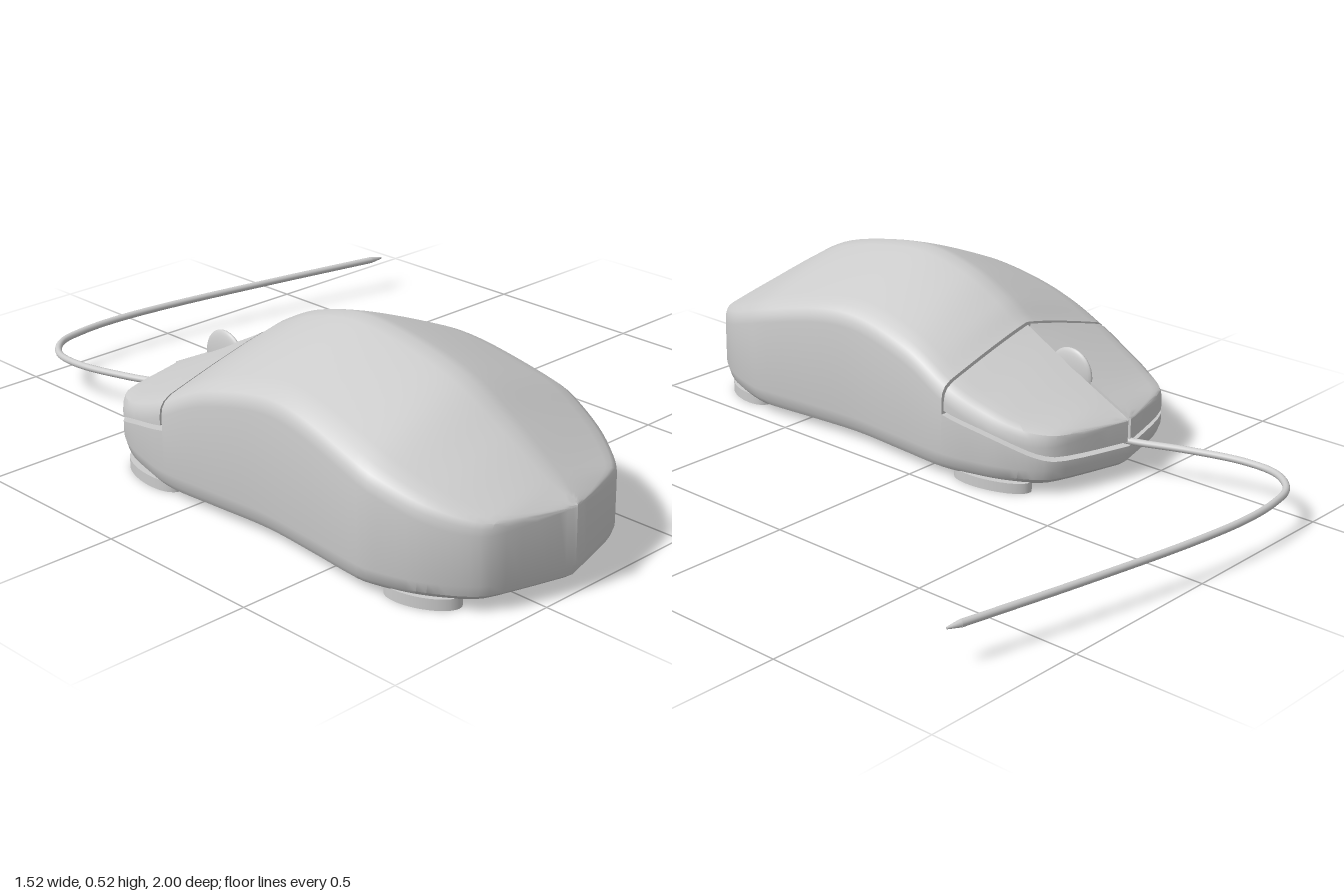
import * as THREE from 'three';
import { toCreasedNormals } from 'three/addons/utils/BufferGeometryUtils.js';

const SEAM = -0.085; // z of the gap between palm shell and buttons

// Smooth function of z through [z, value] pairs
function profile(pairs) {
  const pts = new THREE.SplineCurve(pairs.map(([z, v]) => new THREE.Vector2(z, v))).getPoints(240);
  return (z) => {
    let i = 1;
    while (i < pts.length - 1 && pts[i].x < z) i++;
    const a = pts[i - 1], b = pts[i];
    const t = THREE.MathUtils.clamp((z - a.x) / (b.x - a.x || 1), 0, 1);
    return a.y + (b.y - a.y) * t;
  };
}

const halfWidth = profile([[-0.46, 0], [-0.405, 0.206], [-0.365, 0.268], [-0.29, 0.312], [-0.21, 0.338],
  [-0.09, 0.36], [0.08, 0.35], [0.27, 0.338], [0.45, 0.35], [0.61, 0.365], [0.68, 0.363], [0.81, 0.32],
  [0.92, 0.24], [0.957, 0.15], [1, 0]]);
const ridge = profile([[-0.46, 0.175], [-0.33, 0.238], [-0.2, 0.305], [-0.09, 0.365], [0, 0.425], [0.14, 0.488],
  [0.325, 0.515], [0.6, 0.465], [0.785, 0.37], [1, 0.23]]);
const rim = profile([[-0.46, 0.17], [-0.33, 0.185], [-0.2, 0.225], [-0.09, 0.27], [0.08, 0.345],
  [0.33, 0.385], [0.6, 0.335], [0.8, 0.27], [0.92, 0.235], [1, 0.225]]);
const buttonBase = profile([[-0.46, 0.108], [-0.38, 0.118], [-0.25, 0.165], [-0.09, 0.205]]);

// Half cross-section of the upper shell, from the ridge to just below the rim
function topEdge(z) {
  const w = halfWidth(z), r = ridge(z), e = rim(z), pts = [];
  for (let i = 0; i <= 9; i++) {
    const s = i / 10;
    pts.push([w * s, e + (r - e) * (1 - s ** 1.15), z]);
  }
  const drop = 0.04 * Math.min(1, w / 0.3);
  pts.push([w * 0.96, e - drop * 0.05, z], [w * 0.99, e - drop * 0.45, z], [w, e - drop, z]);
  return pts;
}

// Skin over closed loops ordered by rising z
function loft(rows) {
  const n = rows[0].length, index = [];
  for (let j = 0; j < rows.length - 1; j++) {
    for (let i = 0; i < n; i++) {
      const a = j * n + i, b = j * n + (i + 1) % n;
      index.push(a, a + n, b, b, a + n, b + n);
    }
  }
  const g = new THREE.BufferGeometry();
  g.setAttribute('position', new THREE.Float32BufferAttribute(rows.flat(2), 3));
  g.setIndex(index);
  return toCreasedNormals(g, 0.55);
}

// z stations from a to b, denser toward the ends
const stations = (a, b, n) => Array.from({ length: n + 1 },
  (_, i) => a + (b - a) * (0.5 - 0.5 * Math.cos(Math.PI * i / n)));

function bodyRow(z, isDeck) {
  const w = halfWidth(z);
  const deck = buttonBase(z) - 0.014;
  const half = isDeck
    ? topEdge(z).map(([x]) => [x, deck, z])
    : topEdge(z);
  // side wall, rounded lower edge and underside
  for (const [k, y] of [[1, 0.075], [0.985, 0.045], [0.95, 0.027], [0.9, 0.02], [0, 0.02]]) {
    half.push([w * k, y, 0.27 + (z - 0.27) * (k || 0.9)]);
  }
  const mirrored = half.slice(1, -1).reverse().map(([x, y, zz]) => [-x, y, zz]);
  return half.concat(mirrored);
}

function bodyGeometry() {
  return loft([
    ...stations(-0.46, SEAM, 28).map((z) => bodyRow(z, true)),
    ...stations(SEAM, 1, 56).map((z) => bodyRow(z, false)),
  ]);
}

function buttonGeometry(side) {
  const gap = 0.005;
  const rows = stations(-0.46, SEAM - 0.008, 28).map((z) => {
    const base = buttonBase(z);
    const loop = topEdge(z).map(([x, y]) => [Math.max(x, gap), y, z]);
    loop.push([Math.max(halfWidth(z), gap), base, z], [gap, base, z]);
    return loop;
  });
  // close the rear end
  const last = rows[rows.length - 1];
  rows.push(last.map(() => [0.17, 0.25, last[0][2]]));
  return loft(rows.map((row) => (side > 0 ? row : row.map(([x, y, z]) => [-x, y, z]).reverse())));
}

export function createModel() {
  const model = new THREE.Group();
  const material = new THREE.MeshStandardMaterial({ color: 0xcccccc });
  const add = (parent, name, geometry) => {
    const mesh = new THREE.Mesh(geometry, material);
    mesh.name = name;
    parent.add(mesh);
    return mesh;
  };

  const mouse = new THREE.Group();
  mouse.name = 'mouse';
  mouse.position.x = -0.398;
  model.add(mouse);

  add(mouse, 'body', bodyGeometry());
  add(mouse, 'leftButton', buttonGeometry(1));
  add(mouse, 'rightButton', buttonGeometry(-1));

  // Scroll wheel, lens-shaped
  const wheel = add(mouse, 'scrollWheel', new THREE.SphereGeometry(1, 24, 16));
  wheel.scale.set(0.016, 0.075, 0.075);
  wheel.position.set(-0.008, 0.253, -0.243);

  // Glide pads under the four corners
  for (const side of [1, -1]) {
    for (const [name, x, z, turn] of [['frontPad', 0.285, -0.21, 0.2], ['rearPad', 0.275, 0.765, -0.35]]) {
      const pad = add(mouse, name, new THREE.CylinderGeometry(1, 1, 0.03, 32));
      pad.scale.set(0.05, 1, name === 'frontPad' ? 0.12 : 0.1);
      pad.position.set(side * x, 0.015, z);
      pad.rotation.y = side * turn;
    }
  }

  // Cable with a tapered end
  const path = new THREE.CatmullRomCurve3([[-0.4, -0.38], [-0.41, -0.46], [-0.465, -0.61], [-0.505, -0.77],
    [-0.495, -0.88], [-0.43, -0.955], [-0.33, -0.982], [-0.2, -0.988], [0, -0.968], [0.35, -0.907], [0.72, -0.833]]
    .map(([x, z]) => new THREE.Vector3(x, 0.105, z)));
  add(model, 'cable', new THREE.TubeGeometry(path, 120, 0.01, 12));
  const dir = path.getTangent(1);
  const tip = add(model, 'cableTip', new THREE.CylinderGeometry(0.003, 0.01, 0.04, 12));
  tip.position.copy(path.getPoint(1)).addScaledVector(dir, 0.02);
  tip.quaternion.setFromUnitVectors(new THREE.Vector3(0, 1, 0), dir);

  return model;
}
